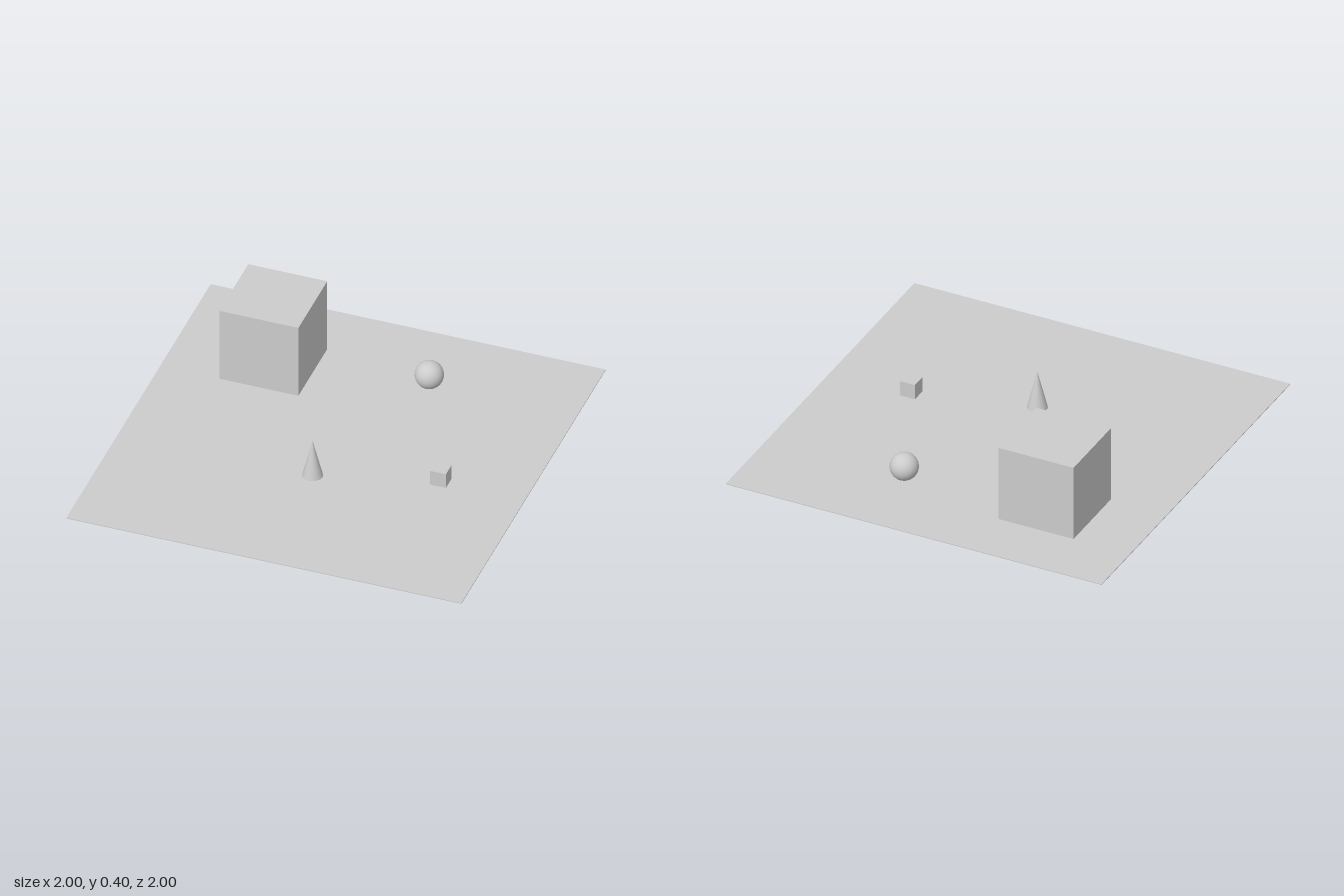
import * as THREE from 'three';

export function createModel() {
  const group = new THREE.Group();
  const material = new THREE.MeshStandardMaterial({ color: 0xcccccc });
  const top = 0.004; // upper surface of the ground slab

  const add = (name, geometry, x, y, z) => {
    const mesh = new THREE.Mesh(geometry, material);
    mesh.name = name;
    mesh.position.set(x, y, z);
    group.add(mesh);
  };

  // Thin square ground
  add('ground', new THREE.BoxGeometry(2, top, 2), 0, top / 2, 0);

  // Objects standing on the ground
  add('largeCube', new THREE.BoxGeometry(0.4, 0.4, 0.4), -0.5, top + 0.2, -0.5);
  add('smallCube', new THREE.BoxGeometry(0.08, 0.08, 0.08), 0.573, top + 0.04, 0.115);
  add('cone', new THREE.ConeGeometry(0.05, 0.2, 32), -0.018, top + 0.1, 0.275);
  add('ball', new THREE.SphereGeometry(0.07, 32, 24), 0.26, top + 0.072, -0.582);

  return group;
}
